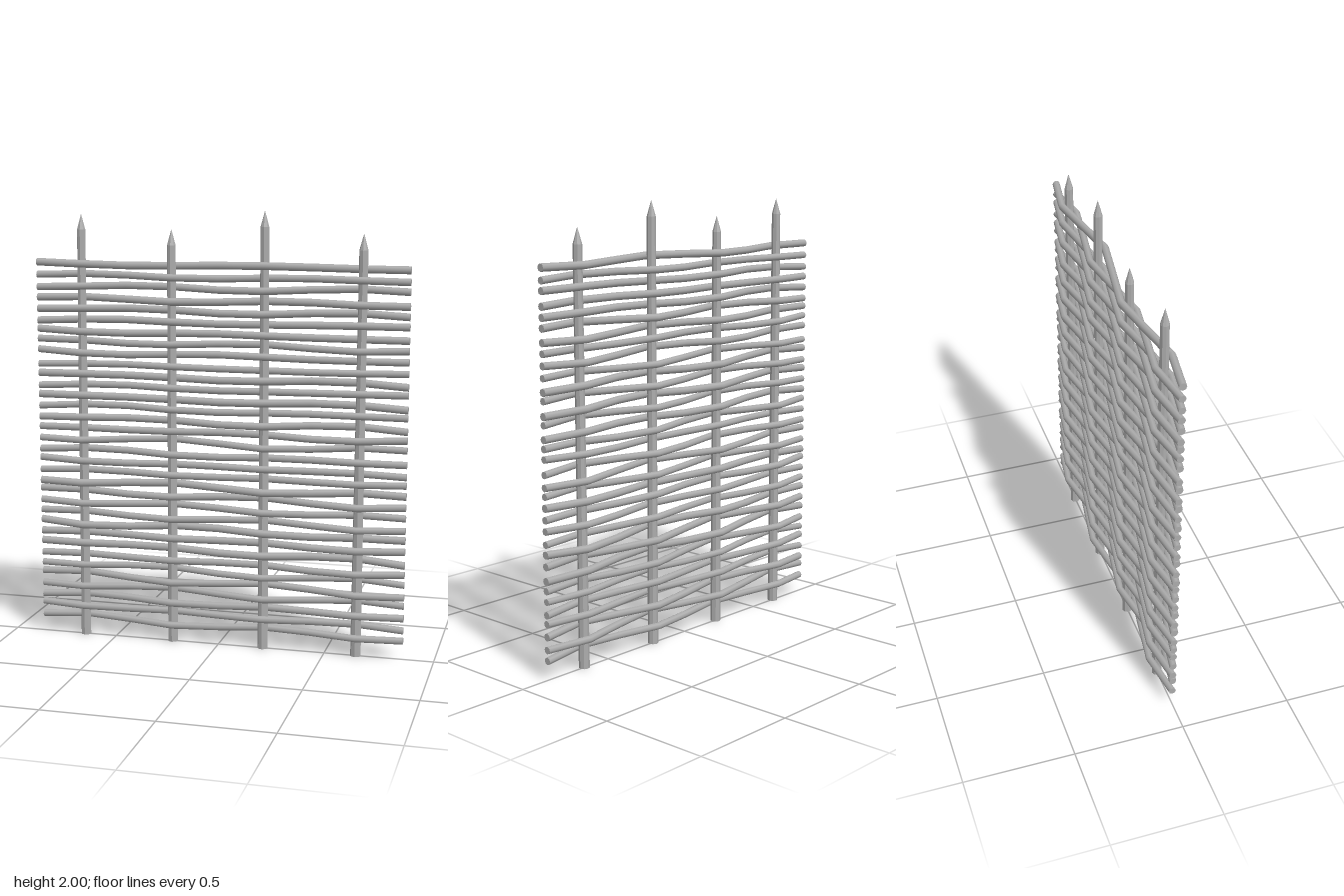
import * as THREE from 'three';

const grey = new THREE.MeshStandardMaterial({ color: 0xacacac });
grey.name = 'grey wood';

// small seeded generator, returns -1..1
let seed = 11;
const rnd = () => {
  seed = (seed * 16807) % 2147483647;
  return (seed / 2147483647) * 2 - 1;
};

// upright stake: tapered shaft with a sharpened tip and a slight lean
function makeStake([bottomX, topX, height]) {
  const tip = 0.07;
  const profile = [[0, 0], [0.024, 0], [0.024, 0], [0.0225, 0.6], [0.021, 1.3],
    [0.02, height - tip], [0.02, height - tip], [0.0005, height]]
    .map(([r, y]) => new THREE.Vector2(r, y));
  const geometry = new THREE.LatheGeometry(profile, 8);
  const pos = geometry.attributes.position;
  for (let i = 0; i < pos.count; i++) {
    const t = pos.getY(i) / height;
    pos.setX(i, pos.getX(i) + bottomX + (topX - bottomX) * t);
  }
  const flat = geometry.toNonIndexed();
  flat.computeVertexNormals();
  const mesh = new THREE.Mesh(flat, grey);
  mesh.name = 'stake';
  return mesh;
}

// woven rod: bends in front of one stake and behind the next
function makeRod(y, side) {
  const length = 1.72, steps = 8, radius = 0.0168 + 0.0012 * rnd();
  const geometry = new THREE.CylinderGeometry(radius, radius, length, 8, steps);
  geometry.rotateZ(-Math.PI / 2);
  const phase = rnd() * Math.PI, wave = 0.006 + 0.002 * rnd(), tilt = 0.003 * rnd();
  const pos = geometry.attributes.position;
  for (let i = 0; i < pos.count; i++) {
    const x = pos.getX(i);
    const station = Math.round((x / length + 0.5) * steps);
    const bend = Math.sin(station * Math.PI / 2) * 0.034 * side;
    pos.setY(i, pos.getY(i) + y + wave * Math.sin(x * 6 + phase) + tilt * x);
    pos.setZ(i, pos.getZ(i) + bend - 0.001);
  }
  const mesh = new THREE.Mesh(geometry, grey);
  mesh.name = 'wovenRod';
  return mesh;
}

export function createModel() {
  const model = new THREE.Group();
  model.name = 'wovenFencePanel';

  // stakes: x at the bottom, x at the top, height
  const stakes = new THREE.Group();
  stakes.name = 'stakes';
  [[-0.65, -0.643, 1.98], [-0.219, -0.217, 1.915], [0.212, 0.212, 2], [0.645, 0.652, 1.905]]
    .forEach((s) => stakes.add(makeStake(s)));

  // rods from the bottom row to the top row
  const rods = new THREE.Group();
  rods.name = 'rods';
  const rows = 34;
  for (let i = 0; i < rows; i++) {
    const y = 0.091 + (1.752 - 0.091) * i / (rows - 1);
    rods.add(makeRod(y + 0.004 * rnd(), i % 2 ? 1 : -1));
  }

  model.add(stakes, rods);
  return model;
}
